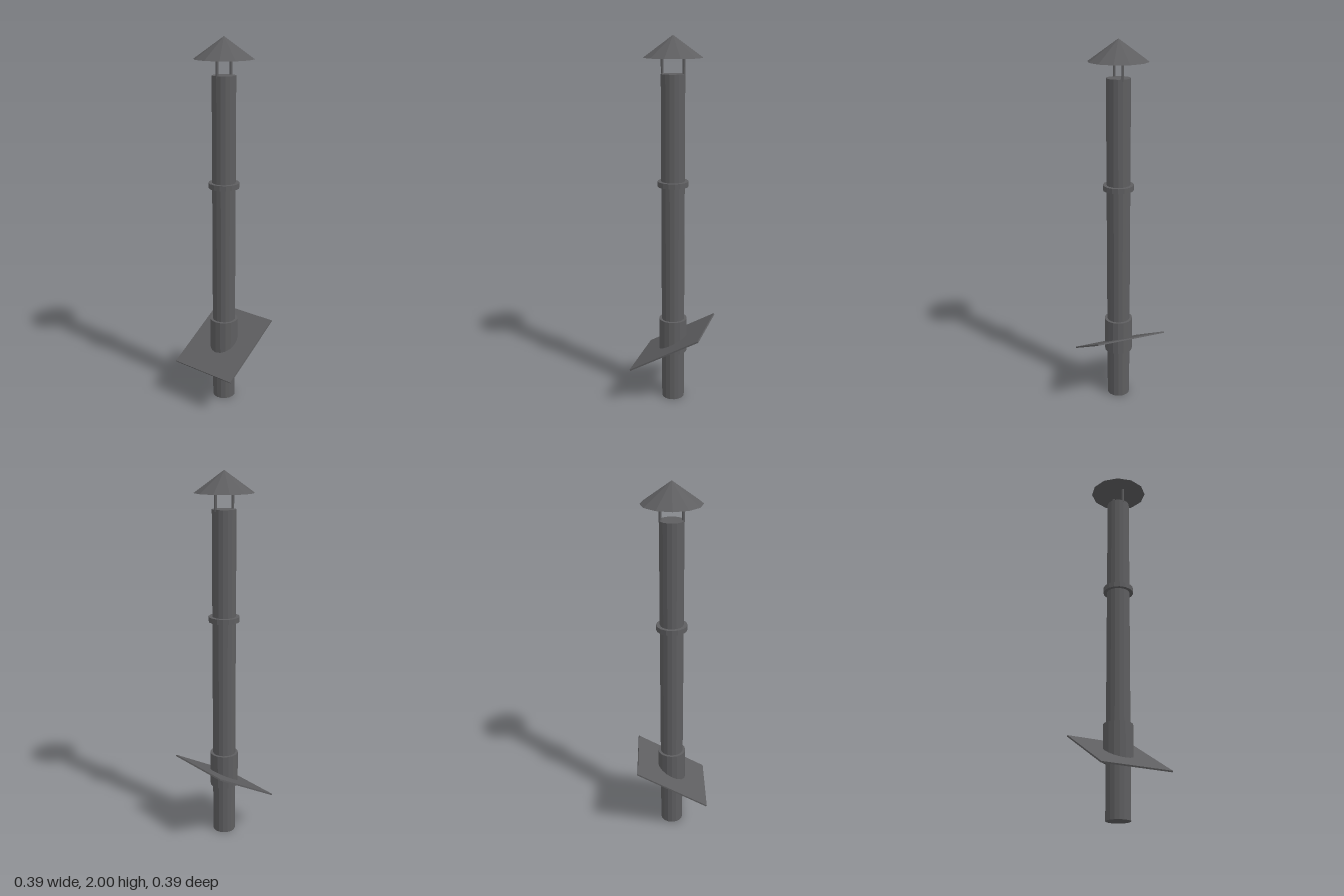
import * as THREE from 'three';

export function createModel() {
  const root = new THREE.Group();
  root.name = 'chimneyPipe';
  const steel = new THREE.MeshStandardMaterial({ color: 0x5e5e60, flatShading: true });
  steel.name = 'dark grey steel';

  const add = (name, geometry, x, y) => {
    const mesh = new THREE.Mesh(geometry, steel);
    mesh.name = name;
    mesh.position.set(x, y, 0);
    root.add(mesh);
    return mesh;
  };
  // upright cylinder given by its bottom and top heights
  const tube = (name, radius, y0, y1, sides = 16, x = 0) =>
    add(name, new THREE.CylinderGeometry(radius, radius, y1 - y0, sides), x, (y0 + y1) / 2);

  tube('pipe', 0.0625, 0, 1.81);
  tube('roofCollar', 0.077, 0.285, 0.478);
  tube('jointBand', 0.082, 1.23, 1.258);

  // sloping roof plate around the collar
  const plate = add('roofPlate', new THREE.BoxGeometry(0.443, 0.008, 0.387), 0, 0.332);
  plate.rotation.z = Math.PI / 6;

  // rain cap on two posts
  for (const side of [-1, 1]) {
    tube(side > 0 ? 'leftPost' : 'rightPost', 0.0075, 1.8, 1.9, 8, side * 0.057);
  }
  add('rainCap', new THREE.ConeGeometry(0.155, 0.11, 12), 0, 1.945);

  return root;
}
